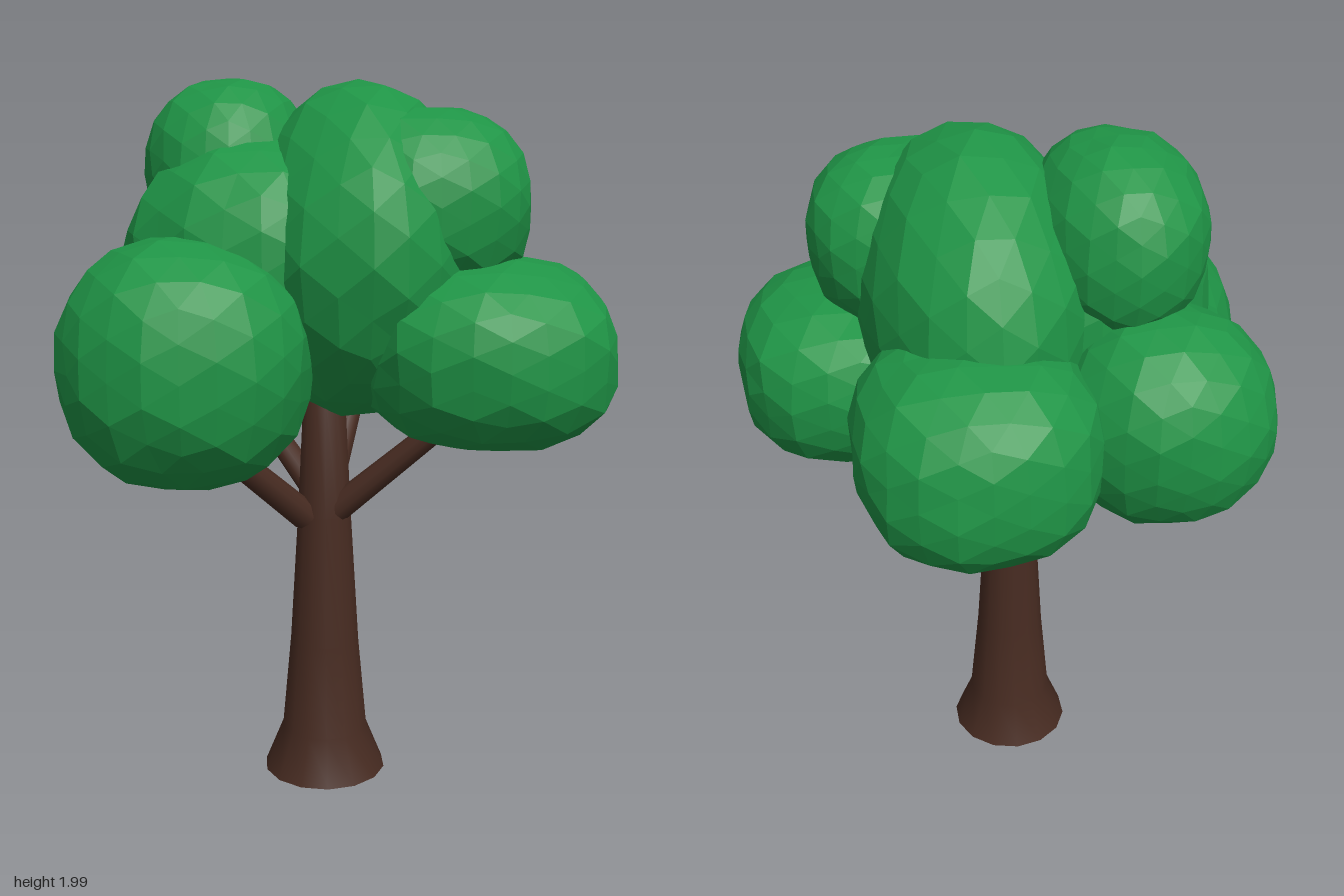
import * as THREE from 'three';

const leafGreen = new THREE.MeshStandardMaterial({ color: 0x1f9446, flatShading: true });
leafGreen.name = 'leafGreen';
const barkBrown = new THREE.MeshStandardMaterial({ color: 0x472b21, side: THREE.DoubleSide });
barkBrown.name = 'barkBrown';

// Faceted, lumpy ellipsoid of leaves; power above 2 makes it squarer
function leafClump(name, centre, radii, power, seed) {
  const geo = new THREE.IcosahedronGeometry(1, 3);
  const pos = geo.attributes.position;
  const v = new THREE.Vector3();
  for (let i = 0; i < pos.count; i++) {
    v.fromBufferAttribute(pos, i).normalize();
    const sum = Math.abs(v.x) ** power + Math.abs(v.y) ** power + Math.abs(v.z) ** power;
    const bump = 0.012 * Math.sin(3.1 * v.x + 2.3 * v.y + seed)
      + 0.012 * Math.sin(4.3 * v.y - 3.7 * v.z + seed * 2.1)
      + 0.014 * Math.sin(9.1 * v.z + 8.3 * v.x + 5 * v.y + seed * 3.3);
    v.multiplyScalar(sum ** (-1 / power) * (1 + bump));
    pos.setXYZ(i, v.x * radii[0], v.y * radii[1], v.z * radii[2]);
  }
  geo.computeVertexNormals();
  const mesh = new THREE.Mesh(geo, leafGreen);
  mesh.name = name;
  mesh.position.set(...centre);
  return mesh;
}

// Tapered branch between two points
function branch(name, from, to, r0, r1) {
  const a = new THREE.Vector3(...from);
  const b = new THREE.Vector3(...to);
  const dir = b.clone().sub(a);
  const mesh = new THREE.Mesh(new THREE.CylinderGeometry(r1, r0, dir.length(), 10), barkBrown);
  mesh.name = name;
  mesh.position.copy(a).add(b).multiplyScalar(0.5);
  mesh.quaternion.setFromUnitVectors(new THREE.Vector3(0, 1, 0), dir.normalize());
  return mesh;
}

export function createModel() {
  const tree = new THREE.Group();
  tree.name = 'tree';

  // Flared trunk, open underneath
  const profile = [[0.178, 0], [0.125, 0.13], [0.1, 0.4], [0.077, 0.78], [0.06, 1.12], [0, 1.14]]
    .map(([r, y]) => new THREE.Vector2(r, y));
  const trunk = new THREE.Mesh(new THREE.LatheGeometry(profile, 14), barkBrown);
  trunk.name = 'trunk';
  trunk.position.set(-0.024, 0, 0.067);
  tree.add(trunk);

  // One branch reaching into each lower clump
  tree.add(
    branch('frontRightBranch', [-0.08, 0.78, 0.1], [-0.4, 1.1, 0.29], 0.042, 0.034),
    branch('frontLeftBranch', [0.01, 0.8, 0.1], [0.37, 1.13, 0.22], 0.04, 0.03),
    branch('backLeftBranch', [-0.01, 0.82, 0.03], [0.11, 1.14, -0.28], 0.038, 0.03),
    branch('backRightBranch', [-0.05, 0.84, 0.04], [-0.28, 1.13, -0.24], 0.038, 0.03),
  );

  // Lower ring of clumps
  tree.add(
    leafClump('frontRightLeaves', [-0.4, 1.265, 0.325], [0.335, 0.33, 0.345], 2.2, 0.4),
    leafClump('frontLeftLeaves', [0.4, 1.275, 0.255], [0.34, 0.255, 0.36], 2.6, 1.7),
    leafClump('backLeftLeaves', [0.13, 1.3, -0.345], [0.32, 0.285, 0.325], 2.5, 2.9),
    leafClump('backRightLeaves', [-0.375, 1.315, -0.265], [0.3, 0.29, 0.3], 2.15, 4.2),
  );

  // Upper crown
  tree.add(
    leafClump('crownCentreLeaves', [0.07, 1.525, 0.06], [0.33, 0.455, 0.49], 2, 5.1),
    leafClump('crownRightLeaves', [-0.2, 1.5, 0.07], [0.38, 0.36, 0.37], 2, 0.9),
    leafClump('crownTopLeaves', [-0.28, 1.735, -0.05], [0.235, 0.265, 0.295], 2.2, 3.3),
    leafClump('crownLeftLeaves', [0.245, 1.665, 0.2], [0.275, 0.25, 0.26], 2.35, 2.2),
  );
  return tree;
}
